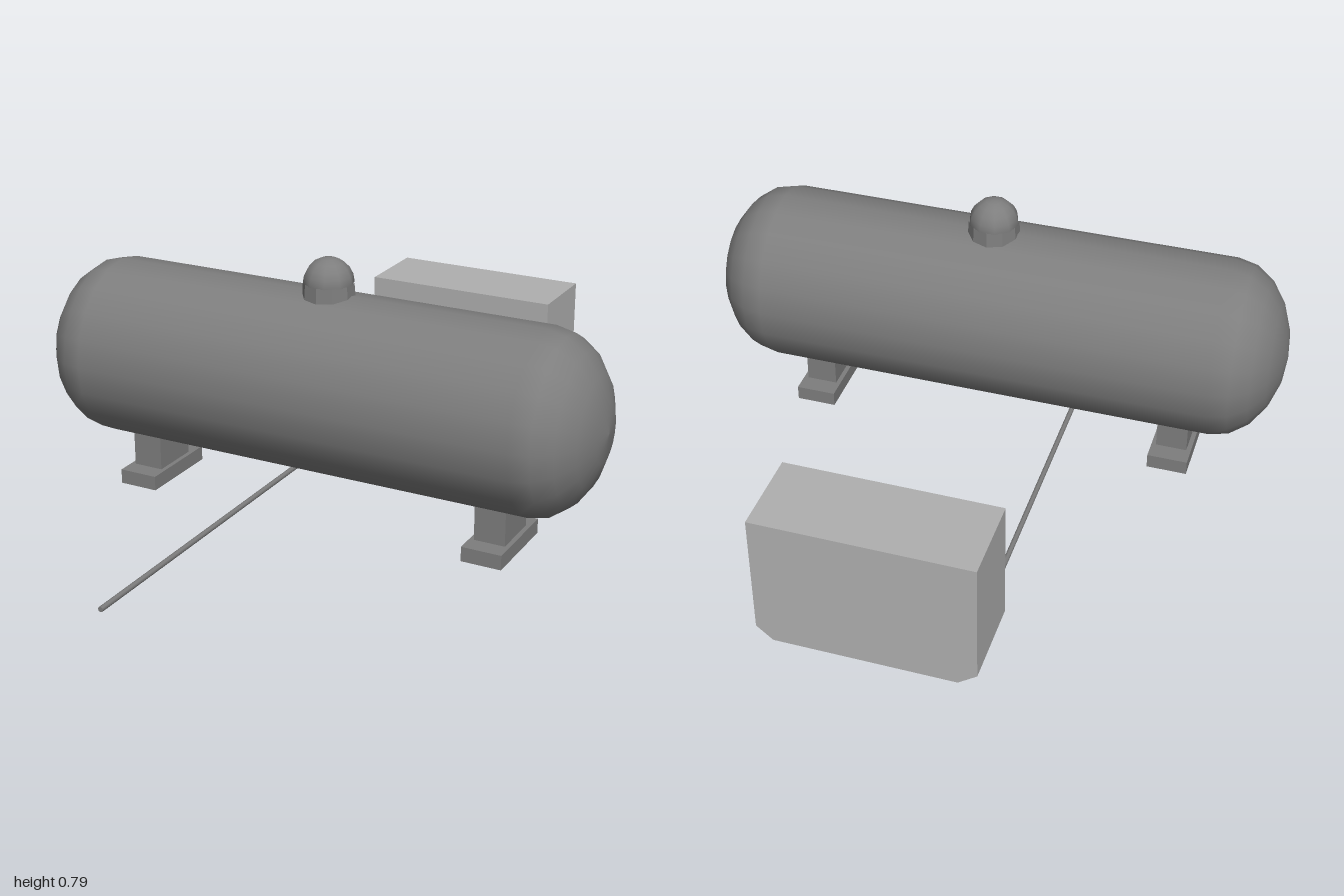
import * as THREE from 'three';

const smoothDark = new THREE.MeshStandardMaterial({ color: 0x7e7e7e });
const flatDark = new THREE.MeshStandardMaterial({ color: 0x7e7e7e, flatShading: true });
const flatLight = new THREE.MeshStandardMaterial({ color: 0xb0b0b0, flatShading: true });
const thinLight = new THREE.MeshStandardMaterial({ color: 0xb0b0b0, flatShading: true, side: THREE.DoubleSide });

function add(parent, name, geometry, material, x = 0, y = 0, z = 0) {
  const mesh = new THREE.Mesh(geometry, material);
  mesh.name = name;
  mesh.position.set(x, y, z);
  parent.add(mesh);
  return mesh;
}

export function createModel() {
  const model = new THREE.Group();
  model.name = 'storageTank';
  const tankZ = 0.154;

  // Tank shell: rounded ends joined by a straight barrel, slightly oval in section
  const profile = [];
  const steps = 5, radius = 0.273, half = 0.69, cap = 0.194;
  for (let i = 0; i <= steps; i++) {
    const a = (i / steps) * Math.PI / 2;
    profile.push(new THREE.Vector2(i === 0 ? 0 : radius * Math.sin(a), -half - cap * Math.cos(a)));
  }
  for (let i = steps; i >= 0; i--) {
    const p = profile[i];
    profile.push(new THREE.Vector2(p.x, -p.y));
  }
  const shell = new THREE.LatheGeometry(profile, 20);
  shell.rotateZ(-Math.PI / 2);
  shell.scale(1, 1, 0.254 / radius);
  add(model, 'tankShell', shell, smoothDark, 0, 0.414, tankZ);

  // Valve cover: faceted collar with a rounded lid
  const cover = new THREE.Group();
  cover.name = 'valveCover';
  cover.position.set(0.022, 0, tankZ);
  model.add(cover);
  add(cover, 'collar', new THREE.CylinderGeometry(0.075, 0.08, 0.075, 10, 1, true), flatDark, 0, 0.6825, 0);
  const lid = new THREE.SphereGeometry(0.075, 10, 5, 0, Math.PI * 2, 0, Math.PI / 2);
  add(cover, 'lid', lid, smoothDark, 0, 0.718, 0);

  // Two supports, each a post on a footing
  for (const side of [-1, 1]) {
    const support = new THREE.Group();
    support.name = side < 0 ? 'rightSupport' : 'leftSupport';
    support.position.set(side * 0.574 + 0.003, 0, 0.158);
    model.add(support);
    add(support, 'footing', new THREE.BoxGeometry(0.123, 0.045, 0.27), flatDark, 0, 0.03, 0);
    add(support, 'post', new THREE.BoxGeometry(0.095, 0.17, 0.155), flatDark, 0, 0.135, 0);
  }

  // Equipment cabinet with cut lower corners
  const outline = new THREE.Shape([
    [-0.231, 0.013], [0.299, 0.013], [0.347, 0.054], [0.347, 0.432], [-0.286, 0.432], [-0.286, 0.054],
  ].map(([x, y]) => new THREE.Vector2(x, y)));
  const cabinet = new THREE.ExtrudeGeometry(outline, { depth: 0.253, bevelEnabled: false });
  add(model, 'cabinet', cabinet, flatLight, 0, 0, -1);

  // Sloping flap over the pipe inlet
  const flap = add(model, 'inletFlap', new THREE.PlaneGeometry(0.175, 0.053), thinLight, -0.154, 0.203, -0.728);
  flap.rotation.x = -Math.PI / 4;

  // Supply pipe: along the ground, then up into the cabinet
  const pipe = new THREE.CurvePath();
  const v = (y, z) => new THREE.Vector3(-0.217, y, z);
  pipe.add(new THREE.LineCurve3(v(0.008, 1), v(0.008, -0.57)));
  pipe.add(new THREE.CubicBezierCurve3(v(0.008, -0.57), v(0.008, -0.7), v(0.16, -0.685), v(0.165, -0.755)));
  add(model, 'supplyPipe', new THREE.TubeGeometry(pipe, 96, 0.008, 8), smoothDark);
  add(model, 'pipeEnd', new THREE.CircleGeometry(0.008, 8), flatDark, -0.217, 0.008, 1);

  return model;
}
